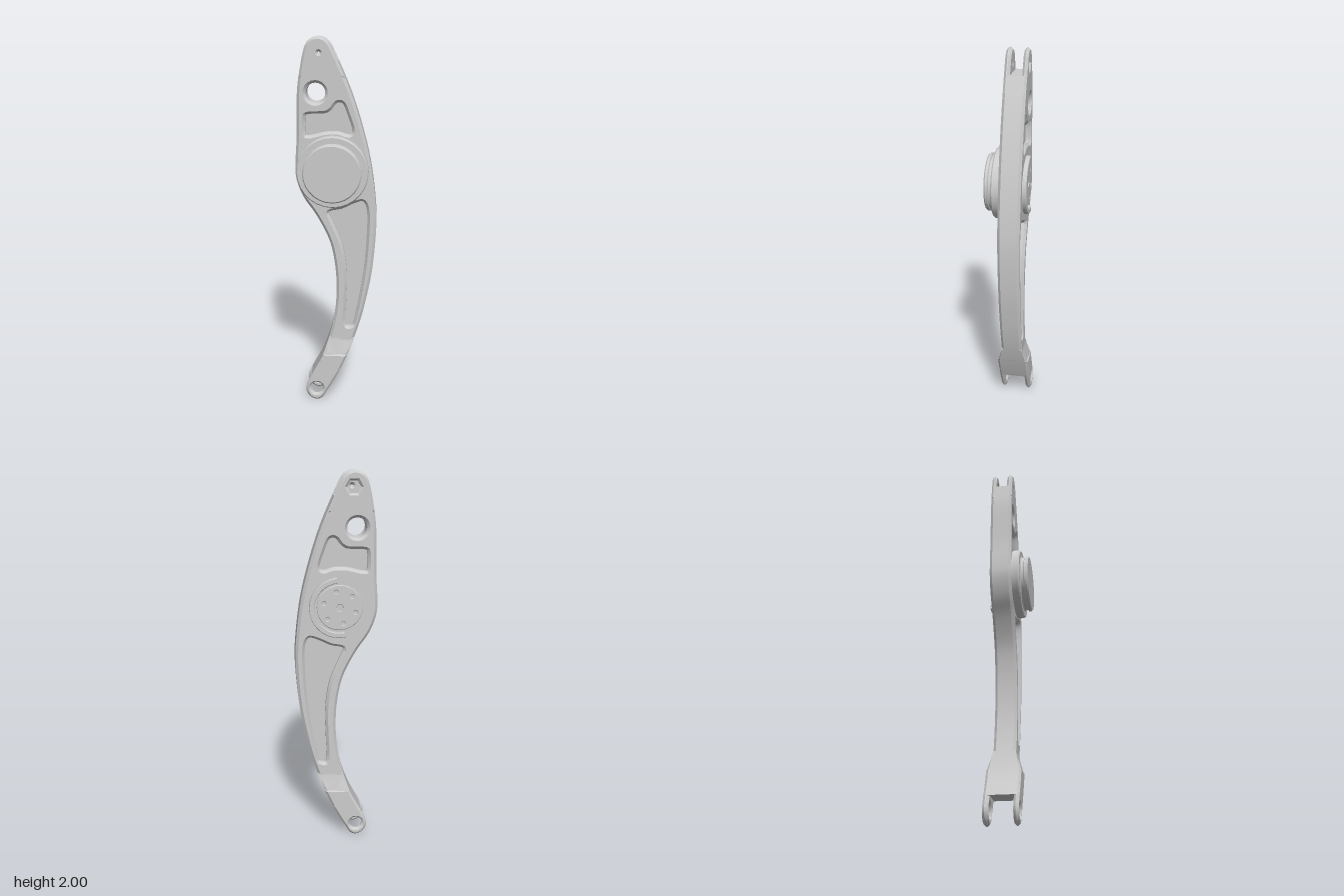
import * as THREE from 'three';
import { toCreasedNormals } from 'three/addons/utils/BufferGeometryUtils.js';

const BACK = -0.085, FRONT = 0.03;            // faces of the arm
const FORK_BACK = -0.113, FORK_FRONT = 0.06;  // faces of the wider lower fork
const HUB = [-0.017, 1.325];                  // pivot centre
const material = new THREE.MeshStandardMaterial({ color: 0xcccccc });

// Smooth closed loop through a few [x, y] points
function loop(points, count) {
  const curve = new THREE.CatmullRomCurve3(
    points.map(([x, y]) => new THREE.Vector3(x, y, 0)), true, 'catmullrom', 0.5);
  return curve.getPoints(count).slice(0, -1).map(p => new THREE.Vector2(p.x, p.y));
}

function circle(x, y, r, sides = 20) {
  return Array.from({ length: sides }, (_, i) => {
    const a = (i / sides) * Math.PI * 2;
    return new THREE.Vector2(x + r * Math.cos(a), y + r * Math.sin(a));
  });
}

// Keep the part of an outline on one side of a horizontal line
function cut(points, level, keepAbove) {
  const inside = p => (keepAbove ? p.y >= level : p.y <= level);
  const out = [];
  points.forEach((a, i) => {
    const b = points[(i + 1) % points.length];
    if (inside(a)) out.push(a);
    if (inside(a) !== inside(b)) out.push(a.clone().lerp(b, (level - a.y) / (b.y - a.y)));
  });
  return out;
}

const slice = (points, low, high) => cut(cut(points, low, true), high, false);

// Flat part between z0 and z1 with chamfered edges; holes run counterclockwise
function plate(points, holes, z0, z1, bevel) {
  const shape = new THREE.Shape(points);
  holes.forEach(h => shape.holes.push(new THREE.Path(h)));
  const geometry = new THREE.ExtrudeGeometry(shape, {
    depth: z1 - z0 - 2 * bevel, bevelEnabled: bevel > 0,
    bevelSize: bevel, bevelThickness: bevel, bevelOffset: -bevel, bevelSegments: 1
  });
  return geometry.translate(0, 0, z0 + bevel);
}

export function createModel() {
  const model = new THREE.Group();
  model.name = 'leverArm';
  const add = (name, geometry) => {
    const mesh = new THREE.Mesh(toCreasedNormals(geometry, 0.5), material);
    mesh.name = name;
    model.add(mesh);
  };

  // Silhouette of the whole curved arm, clockwise from the tip
  const outline = loop([
    [-0.09, 2], [-0.045, 1.98], [-0.01, 1.92], [0.07, 1.74], [0.13, 1.56], [0.178, 1.37],
    [0.205, 1.18], [0.213, 1.02], [0.197, 0.8], [0.168, 0.63], [0.13, 0.47], [0.075, 0.31],
    [0.008, 0.16], [-0.05, 0.055], [-0.075, 0.015], [-0.11, 0], [-0.15, 0.02], [-0.169, 0.07],
    [-0.145, 0.135], [-0.077, 0.27], [-0.03, 0.415], [-0.002, 0.575], [0.001, 0.73],
    [-0.015, 0.865], [-0.045, 0.97], [-0.108, 1.09], [-0.17, 1.18], [-0.206, 1.27],
    [-0.213, 1.35], [-0.204, 1.5], [-0.2, 1.71], [-0.187, 1.82], [-0.162, 1.94], [-0.135, 1.985]
  ], 136);

  // Blind pockets above and below the pivot, sunk from both faces
  const pockets = {
    upperPocket: loop([
      [-0.158, 1.6], [-0.14, 1.618], [-0.06, 1.622], [-0.025, 1.64], [0.005, 1.675],
      [0.035, 1.67], [0.06, 1.61], [0.082, 1.54], [0.065, 1.515], [0.01, 1.53],
      [-0.06, 1.527], [-0.14, 1.508], [-0.158, 1.525]
    ], 52).reverse(),
    lowerPocket: loop([
      [-0.035, 1.105], [0.03, 1.122], [0.1, 1.155], [0.145, 1.162], [0.164, 1.1],
      [0.163, 0.98], [0.153, 0.82], [0.13, 0.65], [0.1, 0.49], [0.085, 0.453],
      [0.052, 0.463], [0.055, 0.6], [0.058, 0.76], [0.035, 0.92], [-0.022, 1.06]
    ], 60).reverse()
  };

  // Main body between the two forks
  add('armBody', plate(slice(outline, 0.3, 1.88),
    [circle(-0.105, 1.725, 0.05), ...Object.values(pockets)], BACK, FRONT, 0.014));
  for (const [name, points] of Object.entries(pockets)) {
    add(name + 'Floor', plate(points, [], -0.055, 0, 0));
  }

  // Upper fork: a thin prong on each face
  const tip = cut(outline, 1.8, true);
  add('upperForkFront', plate(tip, [circle(-0.087, 1.922, 0.004, 8)], 0, FRONT, 0.012));
  add('upperForkBack', plate(tip, [circle(-0.087, 1.922, 0.034, 6)], BACK, -0.06, 0.011));

  // Lower fork: a wide root, a shoulder that ramps into the body, and two cheeks
  add('lowerForkRoot', plate(slice(outline, 0.14, 0.29), [], FORK_BACK, FORK_FRONT, 0.012));
  const shoulder = plate(slice(outline, 0.24, 0.38), [], FORK_BACK, FORK_FRONT, 0.012);
  const position = shoulder.attributes.position;
  for (let i = 0; i < position.count; i++) {
    const face = position.getZ(i) > 0 ? FRONT : BACK;
    const k = THREE.MathUtils.clamp((0.368 - position.getY(i)) / 0.09, 0, 1);
    position.setZ(i, face + (position.getZ(i) - face) * k);
  }
  add('lowerForkShoulder', shoulder);
  const foot = cut(outline, 0.2, false);
  const eye = circle(-0.107, 0.075, 0.035, 10);
  add('lowerForkFront', plate(foot, [eye], 0.033, FORK_FRONT, 0.012));
  add('lowerForkBack', plate(foot, [eye], FORK_BACK, -0.083, 0.012));

  // Front pivot: stepped collar and cap, turned about z
  const boss = new THREE.LatheGeometry([
    [0.187, 0.02], [0.187, 0.064], [0.181, 0.071], [0.152, 0.071], [0.144, 0.076],
    [0.144, 0.09], [0.152, 0.094], [0.152, 0.106], [0.145, 0.113], [0, 0.113]
  ].map(([r, h]) => new THREE.Vector2(r, h)), 28);
  boss.rotateX(Math.PI / 2).translate(HUB[0], HUB[1], 0);
  add('pivotCap', boss);

  // Back pivot: disc with a centre hole and a ring of small holes
  const holes = [circle(...HUB, 0.018, 6)];
  for (let i = 0; i < 6; i++) {
    const a = (i / 6) * Math.PI * 2 + 0.3;
    holes.push(circle(HUB[0] + 0.085 * Math.cos(a), HUB[1] + 0.085 * Math.sin(a), 0.01, 8));
  }
  add('pivotDisc', plate(circle(...HUB, 0.118, 28), holes, -0.096, BACK, 0.003));

  // Raised half ring beside the disc
  const arc = new THREE.Shape();
  arc.absarc(...HUB, 0.157, -Math.PI * 0.56, Math.PI * 0.47, false);
  arc.absarc(...HUB, 0.13, Math.PI * 0.47, -Math.PI * 0.56, true);
  add('pivotHalfRing', plate(arc.getPoints(16), [], -0.107, -0.08, 0.003));

  return model;
}
